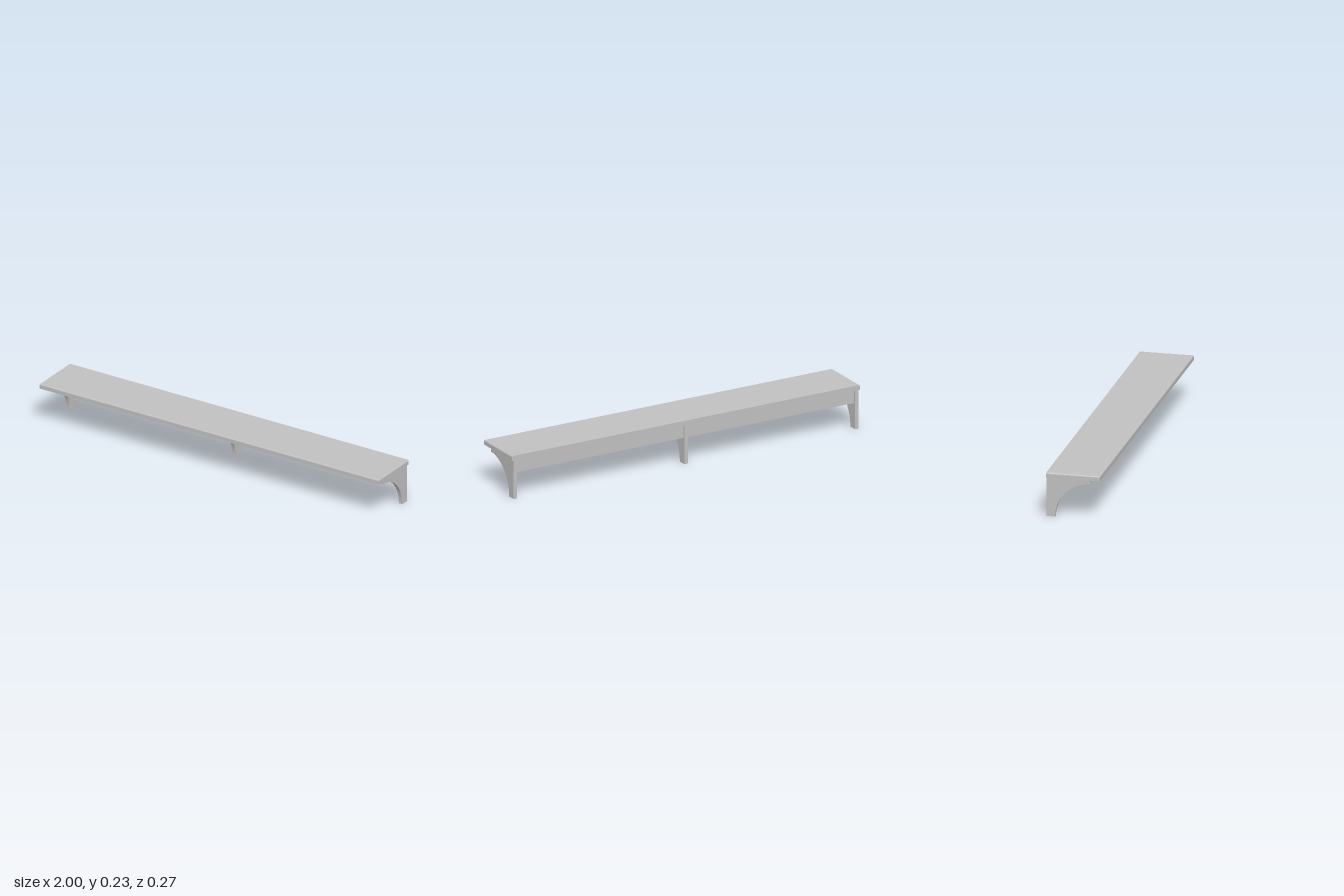
import * as THREE from 'three';

const TOP = 0.228, UNDER = 0.203, BACK = -0.137, ROUND = 0.007;

// Board whose top edge is rounded over at the front and both ends; the back stays square.
function boardGeometry() {
  const steps = 4;
  const geo = new THREE.BoxGeometry(2, 1, 0.274, 1, steps + 1, 1);
  const pos = geo.attributes.position;
  for (let i = 0; i < pos.count; i++) {
    const row = Math.round((pos.getY(i) + 0.5) * (steps + 1));
    const a = Math.max(0, row - 1) / steps * Math.PI / 2;
    const inset = ROUND * (1 - Math.cos(a));
    const x = pos.getX(i), z = pos.getZ(i);
    pos.setXYZ(i,
      x - Math.sign(x) * inset,
      row === 0 ? UNDER : TOP - ROUND * (1 - Math.sin(a)),
      z > 0 ? z - inset : z);
  }
  const flat = geo.toNonIndexed();
  flat.computeVertexNormals();
  return flat;
}

// Side profile in (z, y): a post at the back with a concave quarter arch under the arm.
function bracketGeometry(width) {
  const shape = new THREE.Shape();
  shape.moveTo(BACK, 0);
  shape.lineTo(-0.093, 0);
  shape.absellipse(0.085, 0, 0.178, 0.18, Math.PI, Math.PI / 2, true);
  shape.lineTo(0.085, UNDER);
  shape.lineTo(BACK, UNDER);
  shape.closePath();
  const geo = new THREE.ExtrudeGeometry(shape, { depth: width, bevelEnabled: false, curveSegments: 24 });
  geo.translate(0, 0, -width / 2);
  geo.rotateY(-Math.PI / 2);
  return geo;
}

export function createModel() {
  const group = new THREE.Group();
  group.name = 'wallShelf';
  const paint = new THREE.MeshStandardMaterial({ color: 0xc0c0c0 });
  paint.name = 'paleGrey';

  const add = (name, geo, x = 0, y = 0, z = 0) => {
    const mesh = new THREE.Mesh(geo, paint);
    mesh.name = name;
    mesh.position.set(x, y, z);
    group.add(mesh);
  };

  add('shelfBoard', boardGeometry());

  // Three supporting brackets
  const bracket = bracketGeometry(0.02);
  add('rightBracket', bracket, -0.98);
  add('middleBracket', bracket, 0);
  add('leftBracket', bracket, 0.98);

  // Back rail between the brackets, set in slightly from their rear
  const rail = new THREE.BoxGeometry(0.96, 0.068, 0.02);
  add('rightRail', rail, -0.49, 0.169, -0.117);
  add('leftRail', rail, 0.49, 0.169, -0.117);

  return group;
}
